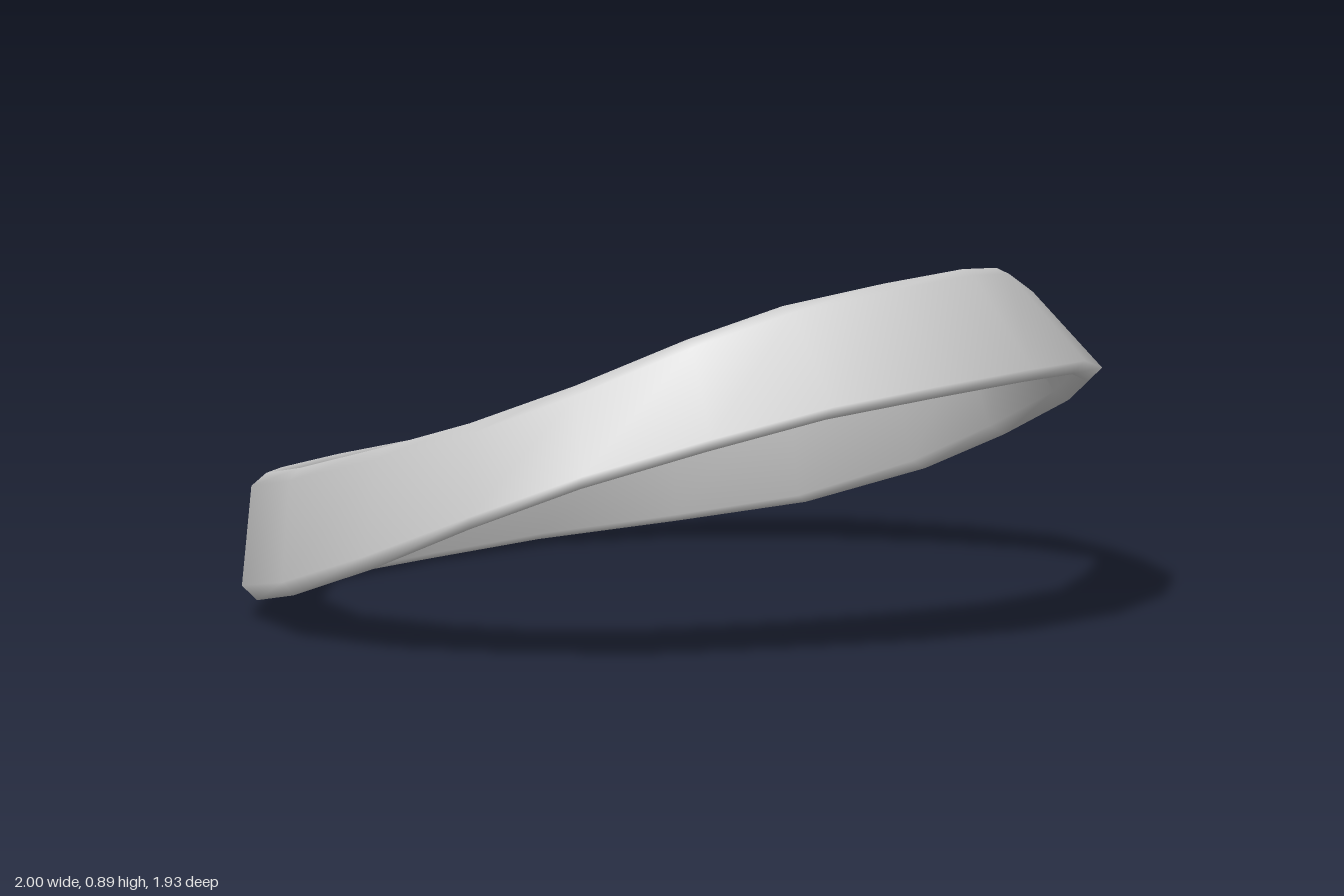
import * as THREE from 'three';

// Piecewise-linear lookup through [z, y] pairs sorted by falling z
function heightAt(table, z) {
  for (let i = 0; i < table.length - 1; i++) {
    const [z0, y0] = table[i], [z1, y1] = table[i + 1];
    if (z >= z1 || i === table.length - 2) {
      return THREE.MathUtils.lerp(y0, y1, THREE.MathUtils.clamp((z0 - z) / (z0 - z1), 0, 1));
    }
  }
}

// Plan of the band, anticlockwise from the front: foot of the outer wall, then inner rim on top
const foot = [
  [-0.15, 0.965], [0.16, 0.965], [0.45, 0.86], [0.7, 0.68], [0.88, 0.45], [0.98, 0.15], [1, -0.13],
  [0.935, -0.47], [0.76, -0.74], [0.46, -0.93], [0.11, -0.97], [-0.22, -0.965], [-0.52, -0.88],
  [-0.78, -0.7], [-0.95, -0.41], [-1, -0.1], [-0.96, 0.2], [-0.86, 0.47], [-0.64, 0.68], [-0.41, 0.86],
];
const rim = [
  [-0.11, 0.71], [0.15, 0.71], [0.39, 0.59], [0.6, 0.46], [0.77, 0.29], [0.88, 0.06], [0.88, -0.17],
  [0.83, -0.45], [0.68, -0.68], [0.42, -0.83], [0.1, -0.9], [-0.22, -0.88], [-0.49, -0.8],
  [-0.72, -0.63], [-0.86, -0.4], [-0.88, -0.12], [-0.85, 0.1], [-0.73, 0.32], [-0.55, 0.5], [-0.36, 0.62],
];
// Heights of the lower and upper edges along the sagging tilt
const lowerEdge = [[0.965, 0.64], [0.86, 0.61], [0.68, 0.54], [0.46, 0.45], [0.17, 0.325],
  [-0.12, 0.205], [-0.45, 0.095], [-0.72, 0.04], [-0.93, 0.008], [-0.97, 0]];
const upperEdge = [[0.71, 0.888], [0.59, 0.845], [0.46, 0.76], [0.29, 0.66], [0.06, 0.56],
  [-0.17, 0.48], [-0.45, 0.395], [-0.68, 0.335], [-0.83, 0.303], [-0.9, 0.292]];

function bandGeometry() {
  const thickness = 0.07, positions = [], index = [], sides = 6, n = foot.length;
  foot.forEach(([fx, fz], i) => {
    const [rx, rz] = rim[i];
    const reach = Math.hypot(rx - fx, rz - fz);
    const lean = Math.max(0, reach - thickness);
    const bottom = heightAt(lowerEdge, fz), top = heightAt(upperEdge, rz);
    const front = (fz + 1) / 2;
    // Bevelled cross-section: [distance inward from the foot, height]
    const section = [
      [0, bottom + 0.035],
      [lean, top - 0.035 + 0.025 * front],
      [reach - thickness / 2, top],
      [reach, top - 0.015],
      [thickness, bottom + 0.02],
      [thickness / 2, bottom],
    ];
    for (const [d, y] of section) {
      const t = d / reach;
      positions.push(fx + (rx - fx) * t, y, fz + (rz - fz) * t);
    }
    // Quads joining this section to the next one around the loop
    const here = i * sides, next = ((i + 1) % n) * sides;
    for (let j = 0; j < sides; j++) {
      const k = (j + 1) % sides;
      index.push(here + j, next + j, next + k, here + j, next + k, here + k);
    }
  });
  const geometry = new THREE.BufferGeometry();
  geometry.setAttribute('position', new THREE.Float32BufferAttribute(positions, 3));
  geometry.setIndex(index);
  geometry.computeVertexNormals();
  return geometry;
}

export function createModel() {
  const group = new THREE.Group();
  group.name = 'headband';
  const band = new THREE.Mesh(bandGeometry(), new THREE.MeshStandardMaterial({ color: 0xcccccc }));
  band.name = 'band';
  group.add(band);
  return group;
}
